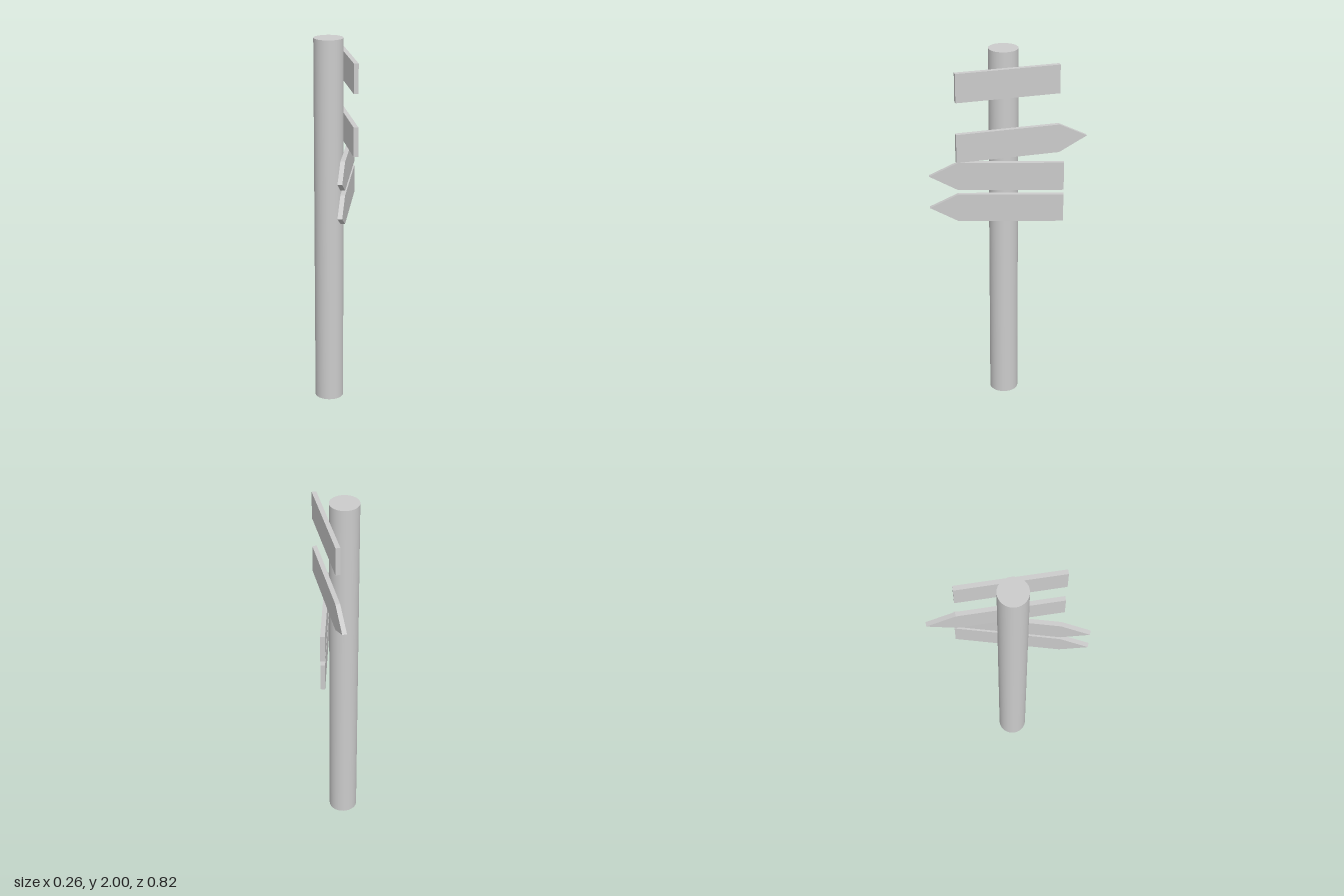
import * as THREE from 'three';

const HALF_BODY = 0.274, TIP = 0.424, HALF_HEIGHT = 0.0765, THICKNESS = 0.024;

// Flat board along local x, with an optional pointed end at +x
function boardGeometry(pointed) {
  const shape = new THREE.Shape();
  shape.moveTo(-HALF_BODY, -HALF_HEIGHT);
  shape.lineTo(HALF_BODY, -HALF_HEIGHT);
  if (pointed) shape.lineTo(TIP, 0);
  shape.lineTo(HALF_BODY, HALF_HEIGHT);
  shape.lineTo(-HALF_BODY, HALF_HEIGHT);
  shape.closePath();
  const geometry = new THREE.ExtrudeGeometry(shape, { depth: THICKNESS, bevelEnabled: false });
  return geometry.translate(0, 0, -THICKNESS / 2);
}

export function createModel() {
  const group = new THREE.Group();
  const material = new THREE.MeshStandardMaterial({ color: 0xcccccc });

  // Round post, open where it stands on the ground
  const post = new THREE.Group();
  post.name = 'post';
  post.position.set(-0.055, 0, 0.011);
  const shaft = new THREE.Mesh(new THREE.CylinderGeometry(0.077, 0.077, 2, 64, 1, true), material);
  shaft.name = 'postShaft';
  shaft.position.y = 1;
  const cap = new THREE.Mesh(new THREE.CircleGeometry(0.077, 64), material);
  cap.name = 'postTop';
  cap.rotation.x = -Math.PI / 2;
  cap.position.y = 2;
  post.add(shaft, cap);
  group.add(post);

  // Sign boards, from the top down; angle is the turn about the post in degrees
  const boards = [
    { name: 'plainBoard', y: 1.845, x: 0.04, z: 0.014, angle: 90, pointed: false },
    { name: 'backArrowBoard', y: 1.522, x: 0.04, z: 0.014, angle: 90, pointed: true },
    { name: 'upperFrontArrowBoard', y: 1.341, x: 0.048, z: -0.001, angle: -105, pointed: true },
    { name: 'lowerFrontArrowBoard', y: 1.162, x: 0.048, z: -0.001, angle: -105, pointed: true },
  ];
  for (const { name, x, y, z, angle, pointed } of boards) {
    const board = new THREE.Mesh(boardGeometry(pointed), material);
    board.name = name;
    board.position.set(x, y, z);
    board.rotation.y = THREE.MathUtils.degToRad(angle);
    group.add(board);
  }
  return group;
}
